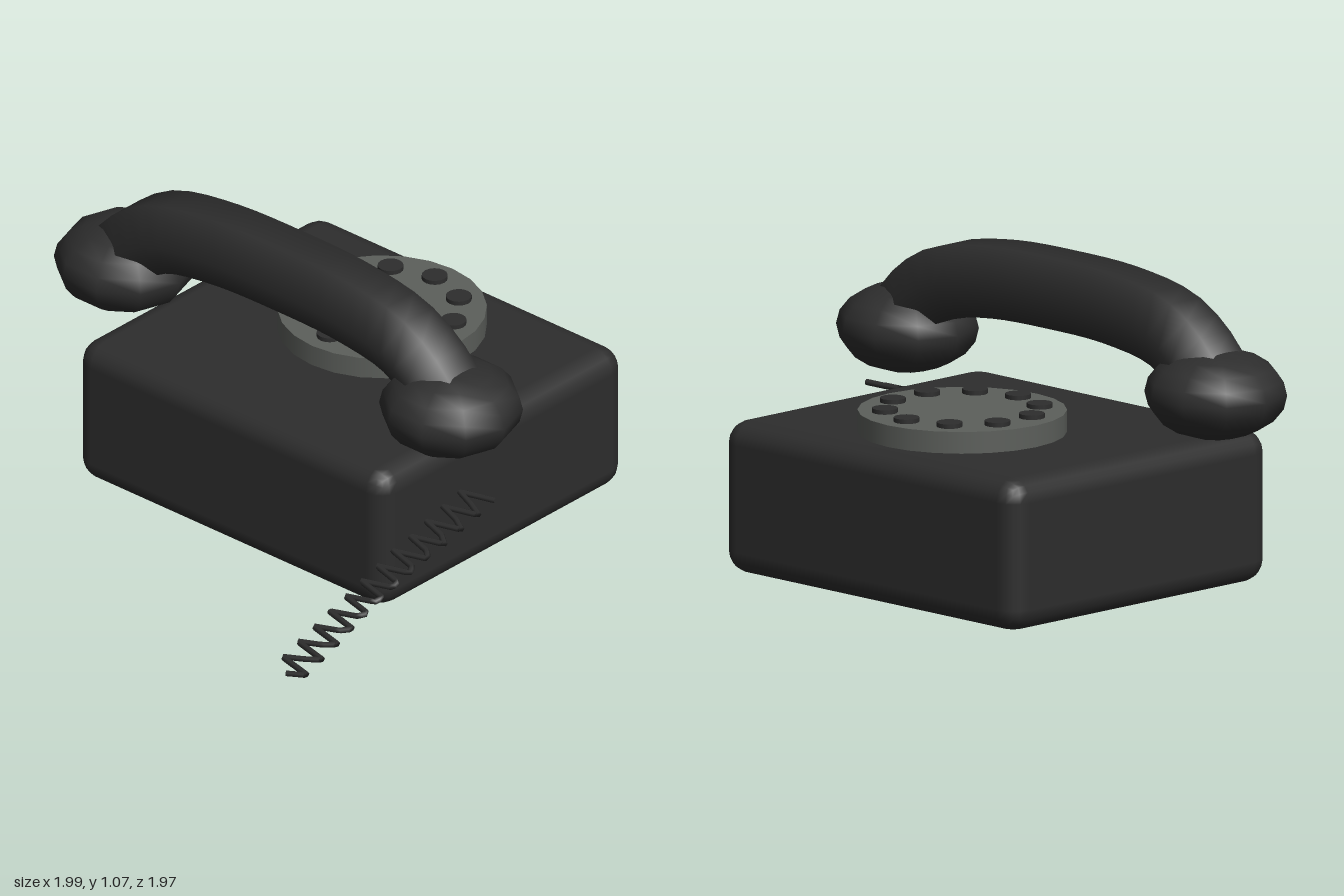
import * as THREE from 'three';
import { RoundedBoxGeometry } from 'three/addons/geometries/RoundedBoxGeometry.js';

export function createModel() {
  const model = new THREE.Group();
  model.name = 'telephone';

  const black = new THREE.MeshStandardMaterial({ name: 'black', color: 0x2d2d2d });
  const grey = new THREE.MeshStandardMaterial({ name: 'dial grey', color: 0x5c5f5b });

  const add = (name, geometry, material, x = 0, y = 0, z = 0) => {
    const mesh = new THREE.Mesh(geometry, material);
    mesh.name = name;
    mesh.position.set(x, y, z);
    model.add(mesh);
    return mesh;
  };

  const cx = -0.013;       // middle of the body and handset
  const handsetZ = -0.055;
  const dialZ = -0.527;

  // Body
  add('body', new RoundedBoxGeometry(1.416, 0.53, 1.234, 2, 0.08), black, cx, 0.265, -0.368);

  // Dial with ten raised buttons
  add('dial', new THREE.CylinderGeometry(0.355, 0.355, 0.095, 24), grey, cx, 0.5575, dialZ);
  const buttonGeometry = new THREE.CylinderGeometry(0.044, 0.044, 0.03, 16);
  for (let i = 0; i < 10; i++) {
    const a = (i / 10) * Math.PI * 2;
    add('dialButton', buttonGeometry, black,
      cx + 0.265 * Math.sin(a), 0.605, dialZ - 0.265 * Math.cos(a));
  }

  // Handset: arched six-sided grip with a flattened ball at each end
  const half = [[0.755, 0.71], [0.66, 0.815], [0.535, 0.893], [0.3, 0.937]];
  const gripPoints = [
    ...half.map(([x, y]) => new THREE.Vector3(-x, y, 0)),
    new THREE.Vector3(0, 0.947, 0),
    ...half.slice().reverse().map(([x, y]) => new THREE.Vector3(x, y, 0)),
  ];
  add('handsetGrip',
    new THREE.TubeGeometry(new THREE.CatmullRomCurve3(gripPoints), 24, 0.143, 6),
    black, cx, 0, handsetZ);
  for (const side of [-1, 1]) {
    const end = add(side < 0 ? 'earpiece' : 'mouthpiece',
      new THREE.SphereGeometry(0.245, 10, 10), black, cx + side * 0.743, 0.705, handsetZ);
    end.scale.y = 0.63;
  }

  // Coiled cord, a flat zigzag with about three bends per turn
  const cordPoints = [];
  for (let i = 0; i <= 36; i++) {
    const t = i / 36;
    const a = THREE.MathUtils.degToRad(30 + 121.7 * i);
    cordPoints.push(new THREE.Vector3(
      0.919 + 0.08 * Math.cos(a), 0.46 - 0.288 * t, 0.005 + 0.975 * t));
  }
  const cordCurve = new THREE.CatmullRomCurve3(cordPoints, false, 'catmullrom', 0);
  cordCurve.arcLengthDivisions = 720;
  add('cord', new THREE.TubeGeometry(cordCurve, 216, 0.011, 6), black);

  return model;
}
